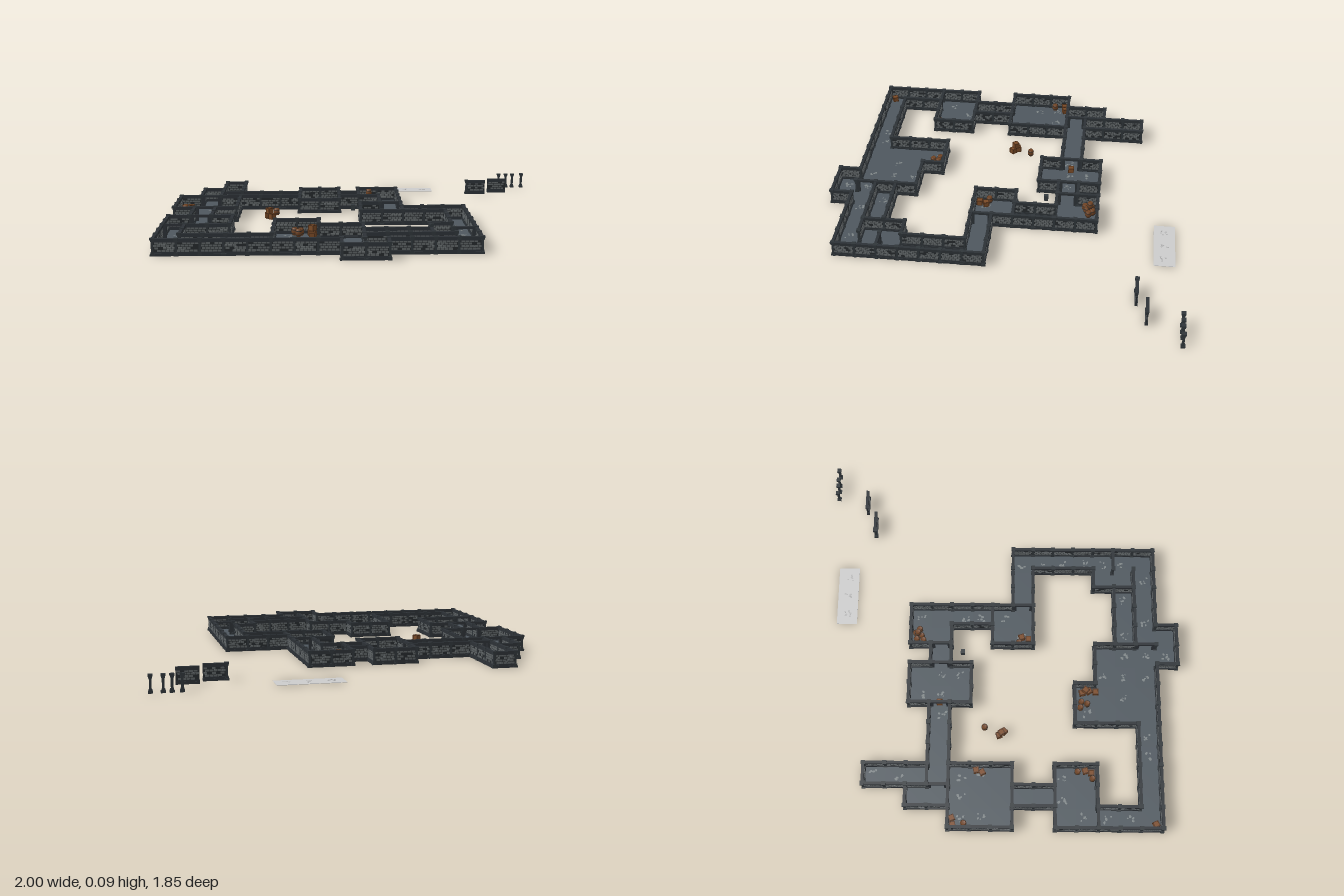
import * as THREE from 'three';
import { mergeGeometries } from 'three/addons/utils/BufferGeometryUtils.js';

const T = 0.1075, X0 = -0.99, Z0 = -0.7;     // tile size and plan origin
const PLAN = [
  '..#...........',
  '..#...........',
  '.##...##.##...',
  '.##########...',
  '###...##..#...',
  '###.......#...',
  '###......##...',
  '.#.......#####',
  '.#...........#',
  '###..........#',
  '###..##......#',
  '#....####...##',
  '#....#########',
  '##############',
  '........##....',
];
// Walls and doorways between rooms: [direction, column, row]
const INNER_WALLS = [['v', 2, 2], ['h', 2, 4], ['v', 9, 12], ['v', 12, 12],
  ['h', 9, 13], ['h', 10, 13], ['h', 11, 13], ['h', 12, 13]];
const DOORS = [['v', 2, 3], ['h', 2, 3], ['h', 1, 4], ['v', 6, 3], ['v', 8, 3], ['v', 9, 3], ['h', 1, 7],
  ['h', 1, 9], ['h', 0, 11], ['v', 9, 13], ['h', 13, 12], ['h', 10, 6], ['v', 11, 7]];

let seed = 7;
const rnd = () => (seed = (seed * 16807) % 2147483647) / 2147483647;

const box = (w, h, d, x, y, z) => new THREE.BoxGeometry(w, h, d).translate(x, y, z);
const cyl = (r1, r2, h, n, x, y, z) => new THREE.CylinderGeometry(r1, r2, h, n).translate(x, y, z);

export function createModel() {
  const group = new THREE.Group();
  const parts = {};
  const add = (name, ...geos) => (parts[name] ??= []).push(...geos);
  const cell = (c, r) => PLAN[r]?.[c] === '#';

  // Place geometry built along x from the origin
  const place = (geo, x, y, z, turn = 0) => geo.rotateY(turn).translate(x, y, z);

  // Pillar with stepped foot and cap
  function pillar(x, z, y = 0) {
    add('pillars',
      box(0.021, 0.01, 0.021, x, y + 0.005, z),
      box(0.016, 0.008, 0.016, x, y + 0.014, z),
      box(0.011, 0.05, 0.011, x, y + 0.043, z),
      box(0.016, 0.008, 0.016, x, y + 0.07, z),
      box(0.021, 0.01, 0.021, x, y + 0.079, z));
  }

  // Wall panel: beams, thin core and rows of uneven bricks
  function wall(x, z, turn) {
    const put = (name, g) => add(name, place(g, x, 0, z, turn));
    put('wallBeams', box(T, 0.012, 0.015, 0, 0.006, 0));
    put('wallBeams', box(T, 0.007, 0.011, 0, 0.0155, 0));
    put('wallBeams', box(T, 0.007, 0.011, 0, 0.067, 0));
    put('wallBeams', box(T, 0.011, 0.015, 0, 0.0755, 0));
    put('wallCores', box(T, 0.05, 0.005, 0, 0.042, 0));
    for (let row = 0; row < 4; row++) {
      for (let i = 0; i < 5; i++) {
        if (rnd() < 0.12) continue;
        const bx = (i - 2 + (row % 2 ? 0.2 : -0.2)) * 0.0195;
        put('wallBricks', box(0.017, 0.0095, 0.007 + rnd() * 0.004, bx, 0.0245 + row * 0.0118, 0));
      }
    }
  }

  // Doorway: two jambs and a lintel
  function doorway(x, z, turn) {
    for (const s of [-1, 1]) add('doorFrames', place(box(0.018, 0.07, 0.012, s * 0.043, 0.035, 0), x, 0, z, turn));
    add('doorFrames', place(box(T, 0.012, 0.015, 0, 0.075, 0), x, 0, z, turn));
  }

  const posts = new Set();
  function edge(build, dir, c, r) {
    const x = X0 + c * T, z = Z0 + r * T;
    posts.add(`${c},${r}`);
    if (dir === 'h') { build(x + T / 2, z, 0); posts.add(`${c + 1},${r}`); }
    else { build(x, z + T / 2, Math.PI / 2); posts.add(`${c},${r + 1}`); }
  }

  // Flat chips of paler stone on a floor
  function stones(name, x, y, z) {
    for (let i = 0; i < 5; i++) {
      const s = 0.004 + rnd() * 0.006;
      add(name, place(cyl(s, s, 0.001, 6, 0, 0, 0).scale(1, 1, 0.7),
        x + (rnd() - 0.5) * 0.04, y, z + (rnd() - 0.5) * 0.04, rnd() * 3));
    }
  }

  // Floor tiles and the outer walls around them
  PLAN.forEach((line, r) => [...line].forEach((ch, c) => {
    if (ch !== '#') return;
    const x = X0 + (c + 0.5) * T, z = Z0 + (r + 0.5) * T;
    add('floor', box(T, 0.005, T, x, 0.0025, z));
    if (rnd() < 0.55) stones('floorStones', x + (rnd() - 0.5) * 0.03, 0.0055, z + (rnd() - 0.5) * 0.03);
    if (!cell(c, r - 1)) edge(wall, 'h', c, r);
    if (!cell(c, r + 1)) edge(wall, 'h', c, r + 1);
    if (!cell(c - 1, r)) edge(wall, 'v', c, r);
    if (!cell(c + 1, r)) edge(wall, 'v', c + 1, r);
  }));
  INNER_WALLS.forEach(e => edge(wall, ...e));
  DOORS.forEach(e => edge(doorway, ...e));
  for (const p of posts) {
    const [c, r] = p.split(',').map(Number);
    pillar(X0 + c * T, Z0 + r * T, c === 12 && r === 12 ? 0.011 : 0);
  }

  // Spare pieces standing apart from the rooms
  for (const x of [0.848, 0.892, 0.93, 0.985]) pillar(x, -0.915);
  pillar(0.625, -0.7);
  wall(0.68, -0.7, 0);
  wall(0.808, -0.75, 0);
  add('spareSlab', box(0.322, 0.002, T, 0.267, 0.003, -0.834));
  for (const x of [0.16, 0.267, 0.375]) stones('spareStones', x, 0.0045, -0.834);
  add('pedestal', box(0.022, 0.03, 0.022, -0.055, 0.02, -0.21));

  // Barrel with bulging staves and iron hoops
  function barrel(x, z, y = 0.005) {
    const profile = [[0, 0], [0.012, 0], [0.0155, 0.01], [0.0165, 0.018], [0.0155, 0.026], [0.012, 0.036], [0.011, 0.034], [0, 0.034]]
      .map(p => new THREE.Vector2(...p));
    add('barrels', new THREE.LatheGeometry(profile, 10).translate(x, y, z));
    for (const h of [0.009, 0.027]) add('barrelHoops', cyl(0.0165, 0.0165, 0.003, 10, x, y + h, z));
  }

  // Crate with framed edges
  function crate(x, z, y = 0.005, turn = 0, s = 0.026) {
    add('crates', place(box(s, s, s, 0, s / 2, 0), x, y, z, turn));
    for (const a of [-1, 1]) for (const b of [-1, 1]) {
      const e = s / 2, t = 0.004;
      add('crateFrames',
        place(box(t, s + 0.002, t, a * e, e, b * e), x, y, z, turn),
        place(box(s + 0.002, t, t, 0, e + a * e, b * e), x, y, z, turn),
        place(box(t, t, s + 0.002, a * e, e + b * e, 0), x, y, z, turn));
    }
  }

  [[0.015, -0.455], [0.05, -0.46], [0.07, -0.44], [0.035, -0.43], [0.01, -0.42], [-0.962, -0.19], [-0.465, -0.09],
    [0.0, 0.085], [-0.355, 0.405], [-0.325, 0.41], [-0.335, 0.44], [-0.695, 0.385], [-0.73, 0.46]].forEach(b => barrel(...b));
  barrel(0.04, -0.447, 0.041);
  [[-0.97, -0.245, 0.1], [-0.935, -0.25, 0.4], [-0.69, -0.13, 0.2], [-0.7, -0.1, 0.5], [0.03, 0.1, 0.3], [0.02, 0.135, 0],
    [-0.275, 0.415, 0.2], [-0.265, 0.45, 0.5], [-0.27, 0.485, 0], [-0.69, 0.425, 0.3], [-0.7, 0.455, 0], [-0.96, 0.775, 0.4],
    [-0.505, -0.015, 0.3], [-0.485, 0.01, 0.8], [-0.33, -0.325, 0]]
    .forEach(([x, z, a]) => crate(x, z, 0.005, a));
  crate(-0.498, -0.003, 0.033, 0.6);
  crate(-0.268, 0.432, 0.033, 0.9);

  const colors = {
    floor: 0x4e575e, floorStones: 0x7d8486, wallBeams: 0x2c3136, wallCores: 0x25292c, wallBricks: 0x5c6163,
    pillars: 0x2f3539, doorFrames: 0x2c3136, spareSlab: 0xcccccc, spareStones: 0xb8b8b8, pedestal: 0x343a3e,
    barrels: 0x6e4223, barrelHoops: 0x2a2a2a, crates: 0x7a4a26, crateFrames: 0x4f2f18,
  };
  for (const [name, geos] of Object.entries(parts)) {
    const mat = new THREE.MeshStandardMaterial({ color: colors[name] });
    const mesh = new THREE.Mesh(mergeGeometries(geos), mat);
    mesh.name = name;
    group.add(mesh);
  }
  return group;
}
